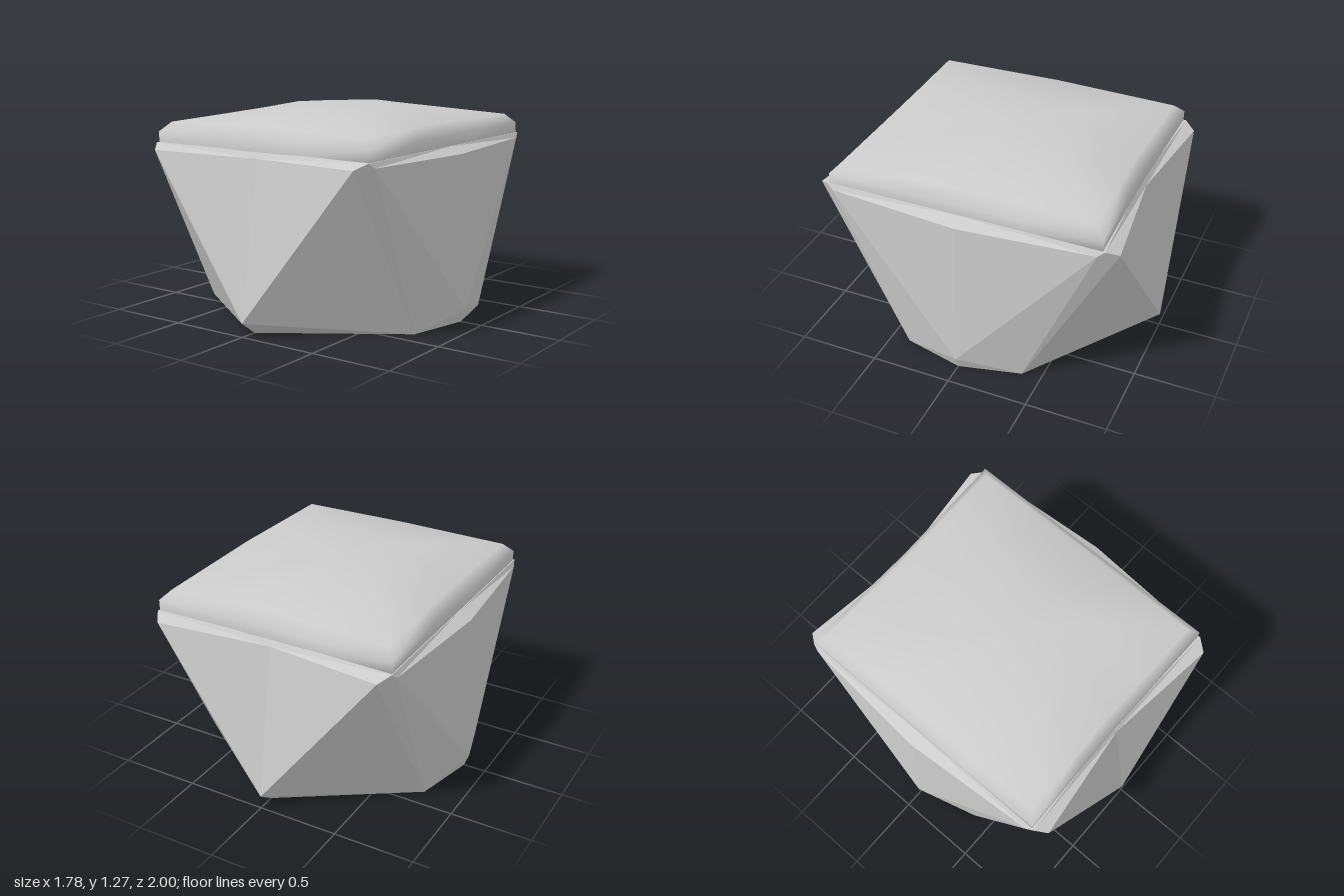
import * as THREE from 'three';

const material = (flat) => new THREE.MeshStandardMaterial({ color: 0xcccccc, flatShading: flat });

// Faceted body: one quarter as polygons, mirrored in x and z
function bodyGeometry() {
  const frontTip = [0, 0.08, 1], frontFoot = [0, 0, 0.89];
  const sideTip = [0.89, 0.08, 0], sideFoot = [0.86, 0, 0], cornerFoot = [0.77, 0, 0.38];
  const frontMid = [0, 1.01, 0.845], sideMid = [0.845, 1.01, 0];
  const cornerFront = [0.72, 1.015, 0.93], cornerSide = [0.785, 1.02, 0.82];
  const corner = [0.77, 1.05, 0.86], rimFront = [0, 1.05, 0.82], rimSide = [0.77, 1.05, 0];
  const faces = [
    [frontTip, cornerFront, frontMid],
    [frontMid, cornerFront, corner, rimFront],
    [cornerFront, cornerSide, corner],
    [cornerFoot, cornerSide, cornerFront, frontTip, frontFoot],
    [cornerFoot, sideFoot, sideTip, cornerSide],
    [sideTip, sideMid, cornerSide],
    [cornerSide, sideMid, rimSide, corner],
    [corner, rimSide, [0, 1.05, 0], rimFront],
    [frontFoot, [0, 0, 0], sideFoot, cornerFoot],
  ];
  const pos = [];
  for (const sx of [1, -1]) for (const sz of [1, -1]) {
    for (const f of faces) for (let i = 1; i < f.length - 1; i++) {
      const tri = sx * sz > 0 ? [f[0], f[i], f[i + 1]] : [f[0], f[i + 1], f[i]];
      for (const [x, y, z] of tri) pos.push(sx * x, y, sz * z);
    }
  }
  const g = new THREE.BufferGeometry();
  g.setAttribute('position', new THREE.Float32BufferAttribute(pos, 3));
  g.computeVertexNormals();
  return g;
}

// Domed cushion: rectangular rings closed by a crown point
function cushionGeometry() {
  const N = 16;
  // half width, half depth, height at the corners, extra height mid-side
  const rings = [
    [0.765, 0.845, 1.045, 0],
    [0.765, 0.845, 1.115, 0],
    [0.71, 0.79, 1.172, 0.015],
    [0.36, 0.4, 1.235, 0.02],
  ];
  const pos = [], idx = [];
  for (const [hx, hz, y, lift] of rings) {
    for (let k = 0; k < N; k++) {
      const a = (k / N) * Math.PI * 2, c = Math.cos(a), s = -Math.sin(a);
      const m = Math.max(Math.abs(c), Math.abs(s)), u = c / m, v = s / m;
      const pinch = 0.98 + 0.02 * Math.abs(u);
      pos.push(u * hx, y + lift * (1 - Math.min(Math.abs(u), Math.abs(v))), v * hz * pinch);
    }
  }
  pos.push(0, 1.272, 0);
  const crown = rings.length * N;
  for (let r = 0; r < rings.length; r++) for (let k = 0; k < N; k++) {
    const a = r * N + k, b = r * N + (k + 1) % N;
    if (r === rings.length - 1) idx.push(a, b, crown);
    else idx.push(a, b, b + N, a, b + N, a + N);
  }
  const g = new THREE.BufferGeometry();
  g.setAttribute('position', new THREE.Float32BufferAttribute(pos, 3));
  g.setIndex(idx);
  g.computeVertexNormals();
  return g;
}

export function createModel() {
  const group = new THREE.Group();
  group.name = 'facetedPouf';
  const body = new THREE.Mesh(bodyGeometry(), material(true));
  body.name = 'body';
  const cushion = new THREE.Mesh(cushionGeometry(), material(false));
  cushion.name = 'cushion';
  group.add(body, cushion);
  return group;
}
